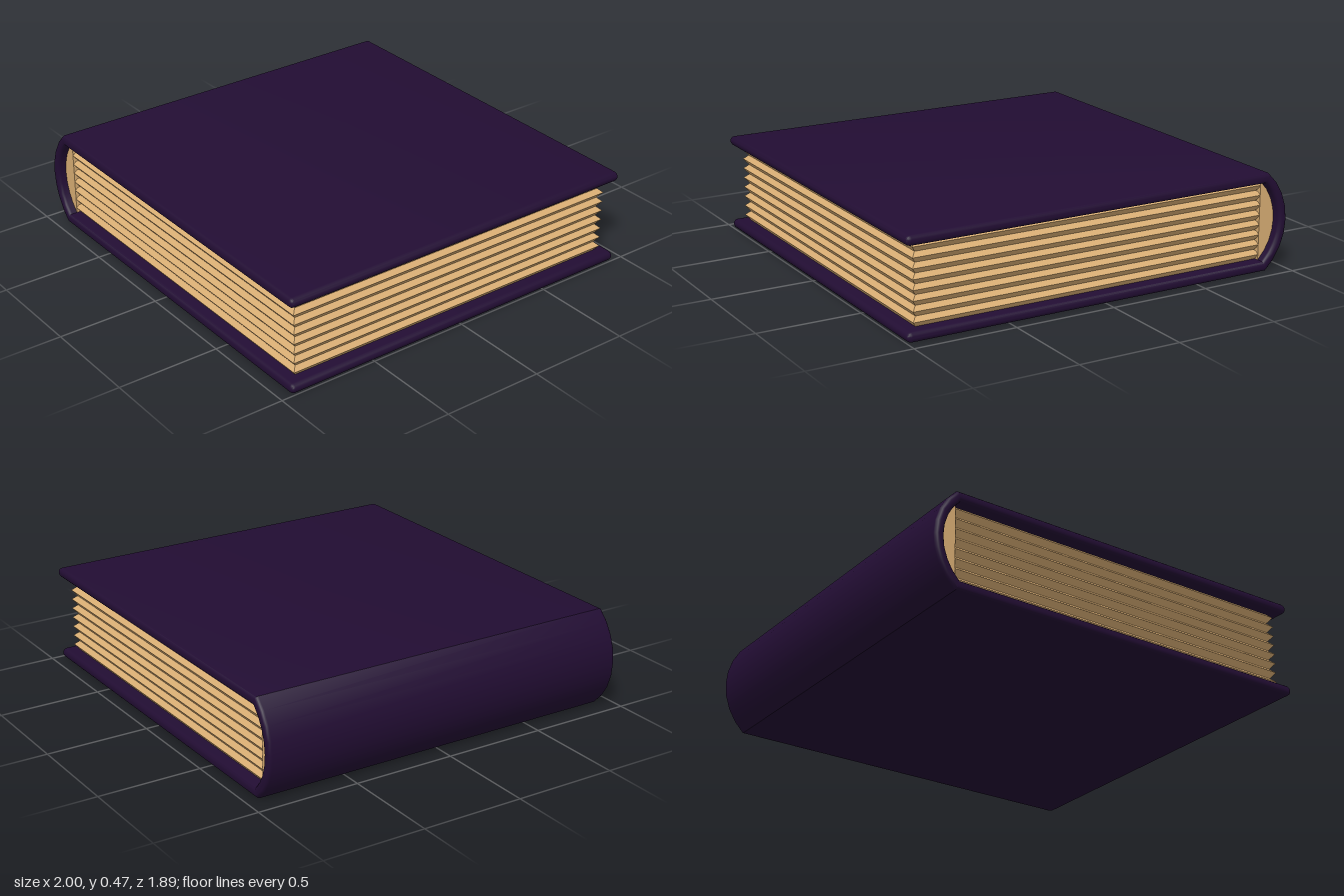
import * as THREE from 'three';
import { toCreasedNormals } from 'three/addons/utils/BufferGeometryUtils.js';

const H = 0.475, MID = H / 2, BOARD = 0.047, TIP = BOARD / 2;
const SPINE_X = -0.69, OUTER_R = 0.31, INNER_R = 0.263;

// Points on the spine curve from one edge angle to the other, around the left side
function spineArc(radius, halfHeight, steps) {
  const a = Math.asin(halfHeight / radius);
  return Array.from({ length: steps + 1 }, (_, i) => {
    const t = a - (2 * a * i) / steps;
    return new THREE.Vector2(SPINE_X - radius * Math.cos(t), MID + radius * Math.sin(t));
  });
}

// Rounded fore-edge of a board, centred at height y, from its lower to its upper side
function boardTip(y) {
  return Array.from({ length: 9 }, (_, i) => {
    const t = -Math.PI / 2 + (Math.PI * i) / 8;
    return new THREE.Vector2(1 - TIP + TIP * Math.cos(t), y + TIP * Math.sin(t));
  });
}

// Both boards and the curved spine as one wrapped section
function coverGeometry() {
  const outline = [
    ...spineArc(OUTER_R, MID, 8),
    ...boardTip(TIP),
    ...spineArc(INNER_R, MID - BOARD, 8).reverse(),
    ...boardTip(H - TIP),
  ];
  const bevel = 0.018, depth = 1.89 - 2 * bevel;
  const geo = new THREE.ExtrudeGeometry(new THREE.Shape(outline), {
    depth, bevelEnabled: true, bevelThickness: bevel,
    bevelSize: bevel, bevelOffset: -bevel, bevelSegments: 3,
  });
  geo.translate(0, 0, -depth / 2);
  return toCreasedNormals(geo, 0.6);
}

// Stack of leaves: rectangular rings that step in and out to make ridged edges
function pagesGeometry(leaves) {
  const y0 = BOARD - 0.002, y1 = H - BOARD + 0.002, step = (y1 - y0) / leaves;
  const rings = [];
  const ring = (y, inset) => {
    const l = -0.885 + inset, r = 0.95 - inset, z = 0.9 - inset;
    rings.push([[l, y, z], [r, y, z], [r, y, -z], [l, y, -z]]);
  };
  for (let i = 0; i < leaves; i++) {
    ring(y0 + i * step, 0.022);
    ring(y0 + (i + 0.58) * step, 0);
  }
  ring(y1, 0.022);

  const pos = [];
  const quad = (a, b, c, d) => pos.push(...a, ...b, ...c, ...a, ...c, ...d);
  for (let i = 0; i < rings.length - 1; i++) {
    const lo = rings[i], hi = rings[i + 1];
    for (let k = 0; k < 4; k++) quad(lo[k], lo[(k + 1) % 4], hi[(k + 1) % 4], hi[k]);
  }
  quad(...rings[rings.length - 1]);
  quad(...[...rings[0]].reverse());
  const geo = new THREE.BufferGeometry();
  geo.setAttribute('position', new THREE.Float32BufferAttribute(pos, 3));
  geo.computeVertexNormals();
  return geo;
}

// Bound back of the pages, filling the hollow of the spine
function bindingGeometry() {
  const shape = new THREE.Shape(spineArc(INNER_R, MID - BOARD, 8));
  const geo = new THREE.ExtrudeGeometry(shape, { depth: 1.8, bevelEnabled: false });
  geo.translate(0, 0, -0.9);
  return toCreasedNormals(geo, 0.6);
}

export function createModel() {
  const cover = new THREE.MeshStandardMaterial({ color: 0x220d33 });
  const paper = new THREE.MeshStandardMaterial({ color: 0xd9ae74 });
  const model = new THREE.Group();
  model.name = 'book';
  const add = (name, geometry, material) => {
    const mesh = new THREE.Mesh(geometry, material);
    mesh.name = name;
    model.add(mesh);
  };
  add('cover', coverGeometry(), cover);
  add('pages', pagesGeometry(8), paper);
  add('binding', bindingGeometry(), paper);
  return model;
}
